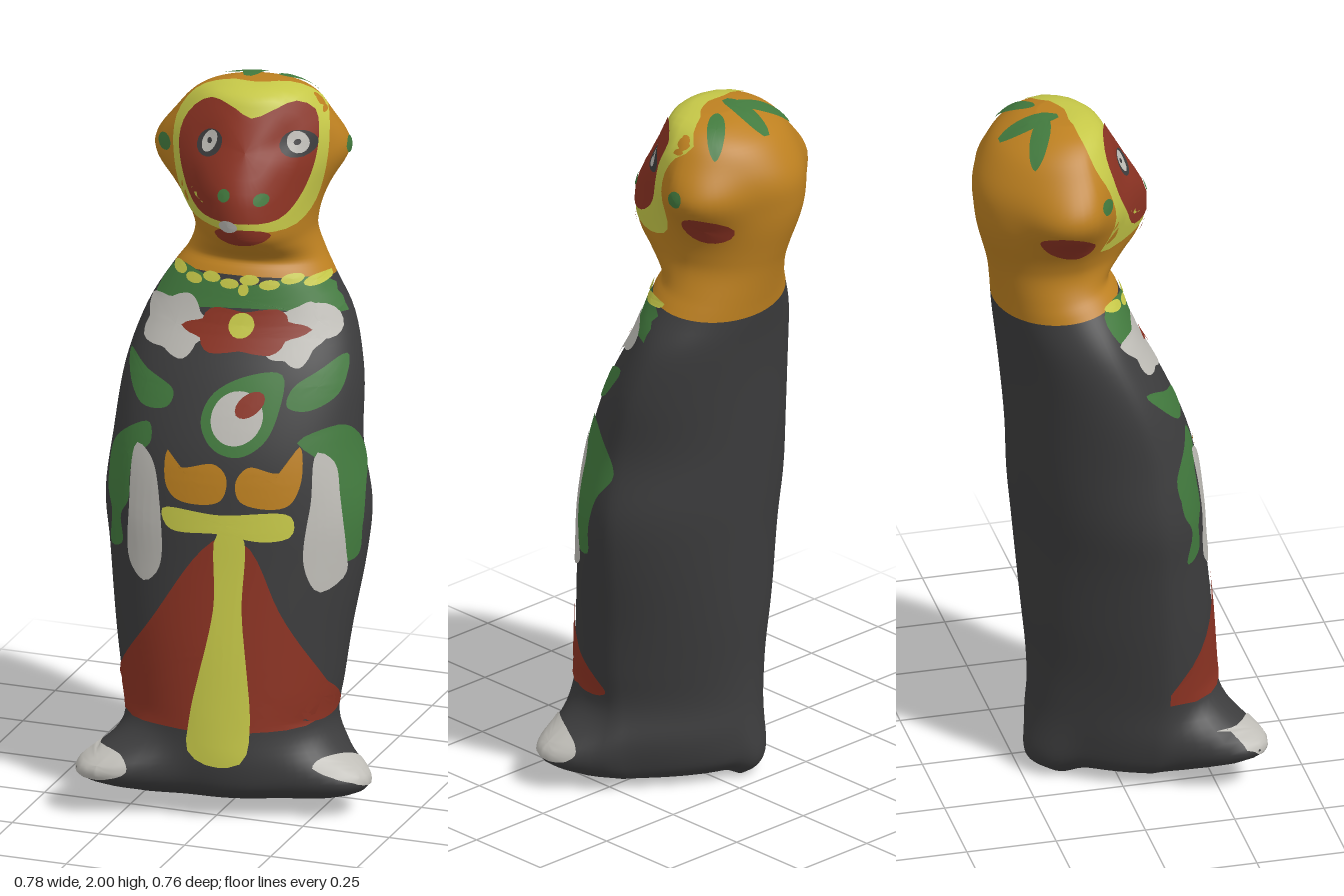
import * as THREE from 'three';

const mat = (name, color) => {
  const m = new THREE.MeshStandardMaterial({ color });
  m.name = name;
  return m;
};

const YAW = 0.225; // the figure is turned slightly to its left
const SEG = 80;
const STEP = 5;

// Cross-sections: y, centre x, centre z, half width, front depth, back depth, front taper, back taper
const BODY = [
  [0.055, -0.02, 0.02, 0.25, 0.22, 0.2, 0, 0.45],
  [0.09, -0.02, 0.03, 0.28, 0.26, 0.25, 0, 0.45],
  [0.16, -0.02, 0.03, 0.295, 0.275, 0.255, 0, 0.4],
  [0.25, -0.03, 0.04, 0.29, 0.26, 0.26, 0, 0.35],
  [0.35, -0.03, 0.04, 0.305, 0.25, 0.26, 0, 0.3],
  [0.5, -0.03, 0.03, 0.325, 0.245, 0.26, 0, 0.24],
  [0.7, -0.025, 0.01, 0.352, 0.24, 0.25, 0, 0.2],
  [0.85, -0.028, 0, 0.365, 0.235, 0.25, 0, 0.17],
  [1.02, -0.033, -0.01, 0.342, 0.22, 0.25, 0, 0.14],
  [1.2, -0.03, -0.05, 0.327, 0.19, 0.22, 0, 0.1],
  [1.35, -0.03, -0.1, 0.285, 0.16, 0.185, 0, 0.05],
  [1.46, -0.03, -0.135, 0.22, 0.155, 0.165, 0, 0],
];
const HEAD = [
  [1.51, -0.03, -0.15, 0.188, 0.15, 0.16, 0, 0],
  [1.57, -0.03, -0.14, 0.168, 0.2, 0.185, 0.1, 0],
  [1.62, -0.035, -0.14, 0.175, 0.25, 0.2, 0.22, 0.05],
  [1.69, -0.045, -0.14, 0.197, 0.265, 0.22, 0.27, 0.1],
  [1.75, -0.05, -0.14, 0.21, 0.25, 0.23, 0.24, 0.12],
  [1.82, -0.045, -0.14, 0.218, 0.21, 0.232, 0.18, 0.12],
  [1.88, -0.04, -0.14, 0.214, 0.175, 0.21, 0.12, 0.1],
  [1.94, -0.035, -0.14, 0.187, 0.14, 0.165, 0.1, 0.05],
  [1.98, -0.03, -0.13, 0.14, 0.105, 0.11, 0, 0],
  [2.0, -0.03, -0.12, 0.07, 0.05, 0.06, 0, 0],
];
const KEYS = [...BODY, ...HEAD];

// Smooth interpolation between cross-sections
function sectionAt(s) {
  const i = Math.min(Math.floor(s), KEYS.length - 2), f = s - i;
  const k = (n) => KEYS[Math.max(0, Math.min(KEYS.length - 1, n))];
  return KEYS[0].map((_, c) => {
    const [p, a, b, n] = [k(i - 1)[c], k(i)[c], k(i + 1)[c], k(i + 2)[c]];
    return a + 0.5 * f * (b - p + f * (2 * p - 5 * a + 4 * b - n + f * (3 * (a - b) + n - p)));
  });
}

const bump = (d, w) => Math.exp(-(d * d) / (w * w));

function surfacePoint([y, cx, cz, a, f, b, kf, kb], t) {
  const c = Math.cos(t), s = Math.sin(t), side = Math.abs(t);
  const tail = bump(1 - Math.cos(t + Math.PI - 0.25), 0.09);
  let u = a * s * (1 - (c > 0 ? kf * c : -kb * c));
  let w = (c > 0 ? f : b) * c;
  // feet and back ridge at the base, ears and eye hollows on the head
  const grow = 0.195 * bump(y - 0.125, 0.08) * bump(t + 0.98, 0.34)
    + bump(y - 0.105, 0.075) * (0.137 * bump(t - 1.08, 0.36) + 0.02 * tail)
    + 0.06 * bump(y - 1.795, 0.085) * bump(side - 1.8, 0.42)
    - 0.015 * bump(y - 1.87, 0.045) * bump(side - 0.6, 0.25);
  const r = Math.hypot(u, w) || 1;
  u += (u / r) * grow;
  w += (w / r) * grow;
  const x = cx + u * Math.cos(YAW) + w * Math.sin(YAW);
  const z = cz - u * Math.sin(YAW) + w * Math.cos(YAW);
  // the underside drops to a point at the back, the neckline slopes backwards
  const low = Math.max(0, 1 - y / 0.3);
  return [x, y + low * ((z - 0.3) * 0.07 - 0.03 * tail) + 0.16 * (z - cz) * bump(y - 1.46, 0.08), z];
}

function loft(from, to, capBottom, capTop) {
  const rows = (to - from) * STEP, pos = [], idx = [];
  for (let r = 0; r <= rows; r++) {
    const sec = sectionAt(from + r / STEP);
    for (let j = 0; j < SEG; j++) pos.push(...surfacePoint(sec, (j / SEG) * 2 * Math.PI - Math.PI));
  }
  for (let r = 0; r < rows; r++) for (let j = 0; j < SEG; j++) {
    const a = r * SEG + j, b = r * SEG + ((j + 1) % SEG);
    idx.push(a, b, b + SEG, a, b + SEG, a + SEG);
  }
  const cap = (row, flip) => {
    const k = KEYS[row ? to : from], n = pos.length / 3, o = row * SEG;
    pos.push(k[1], k[0] - (row ? 0 : 0.015), k[2]);
    for (let j = 0; j < SEG; j++) {
      const a = o + j, b = o + ((j + 1) % SEG);
      flip ? idx.push(n, b, a) : idx.push(n, a, b);
    }
  };
  if (capBottom) cap(0, true);
  if (capTop) cap(rows, false);
  const g = new THREE.BufferGeometry();
  g.setAttribute('position', new THREE.Float32BufferAttribute(pos, 3));
  g.setIndex(idx);
  g.computeVertexNormals();
  return g;
}

// Projection directions for paint: [origin from 2D point, ray direction, keeps counter-clockwise]
// 'face' looks squarely at the tilted face, with its own across and up axes
const SIDES = {
  front: [(p, q) => [p, q, 2], [0, 0, -1], true],
  left: [(p, q) => [2, q, p], [-1, 0, 0], false],
  right: [(p, q) => [-2, q, p], [1, 0, 0], true],
  top: [(p, q) => [p, 4, q], [0, -1, 0], false],
  face: [(p, q) => [0.36 + 0.974 * p - 0.101 * q, 2.7 + 0.892 * q, 1.7 - 0.225 * p - 0.438 * q], [-0.2, -0.45, -0.87], true],
};

const oval = (x, y, rx, ry = rx, tilt = 0) => Array.from({ length: 10 }, (_, i) => {
  const t = (i / 10) * 2 * Math.PI, a = rx * Math.cos(t), b = ry * Math.sin(t);
  return [x + a * Math.cos(tilt) - b * Math.sin(tilt), y + a * Math.sin(tilt) + b * Math.cos(tilt)];
});
const petals = (x, y, rx, ry, n) => Array.from({ length: n * 4 }, (_, i) => {
  const t = (i / (n * 4)) * 2 * Math.PI, k = 1 + 0.14 * Math.cos(n * t);
  return [x + rx * k * Math.cos(t), y + ry * k * Math.sin(t)];
});

export function createModel() {
  const group = new THREE.Group();
  const dark = mat('charcoal', 0x3c3c3d), orange = mat('ochre', 0xbd8020), red = mat('brick red', 0x8c3323);
  const yellow = mat('yellow', 0xc6c848), green = mat('green', 0x427a3e), white = mat('off white', 0xbfbdb7);

  const add = (name, geo, m) => {
    const mesh = new THREE.Mesh(geo, m);
    mesh.name = name;
    group.add(mesh);
    return mesh;
  };
  const neck = BODY.length - 1;
  const solids = [
    add('robe', loft(0, neck, true, false), dark),
    add('head', loft(neck, KEYS.length - 1, false, true), orange),
  ];

  // Thin painted patch laid on the surface as rings around its centre
  const ray = new THREE.Raycaster();
  function paint(name, m, pts, level = 1, side = 'front') {
    const [origin, dir, ccw] = SIDES[side];
    const curve = new THREE.CatmullRomCurve3(pts.map(([p, q]) => new THREE.Vector3(p, q, 0)), true, 'centripetal');
    const size = Math.max(...pts.map((p) => Math.hypot(p[0] - pts[0][0], p[1] - pts[0][1])));
    const n = size > 0.12 ? 48 : 18, rings = size > 0.3 ? 12 : size > 0.12 ? 5 : 2;
    const outline = curve.getSpacedPoints(n).slice(0, n);
    if (THREE.ShapeUtils.isClockWise(outline) === ccw) outline.reverse();
    const mid = outline.reduce((s, p) => s.add(p), new THREE.Vector3()).divideScalar(n);
    const d = new THREE.Vector3(...dir).normalize(), pos = [], idx = [];
    const place = (p, k) => {
      for (let f = k; f >= 0; f -= 0.01) {
        const q = mid.clone().lerp(p, f);
        ray.set(new THREE.Vector3(...origin(q.x, q.y)), d);
        const hit = ray.intersectObjects(solids)[0];
        if (hit) return pos.push(...hit.point.addScaledVector(hit.face.normal, 0.0015 + 0.0025 * level).toArray());
      }
      return pos.push(...origin(mid.x, mid.y));
    };
    for (let r = 0; r <= rings; r++) outline.forEach((p) => place(p, r / rings));
    for (let r = 0; r < rings; r++) for (let j = 0; j < n; j++) {
      const k = (j + 1) % n, a = r * n, b = a + n;
      idx.push(a + j, b + j, b + k);
      if (r > 0) idx.push(a + j, b + k, a + k);
    }
    const g = new THREE.BufferGeometry();
    g.setAttribute('position', new THREE.Float32BufferAttribute(pos, 3));
    g.setIndex(idx);
    g.computeVertexNormals();
    add(name, g, m);
  }

  // Face
  paint('faceBorder', yellow, [[0.037, 0.206], [-0.034, 0.213], [-0.125, 0.19], [-0.178, 0.122], [-0.182, 0], [-0.135, -0.135], [0.003, -0.208], [0.143, -0.178], [0.22, -0.033], [0.235, 0.09], [0.215, 0.18], [0.141, 0.214]], 0.6, 'face');
  paint('face', red, [[0.037, 0.099], [-0.02, 0.133], [-0.08, 0.156], [-0.135, 0.126], [-0.163, 0.065], [-0.15, -0.039], [-0.095, -0.146], [0.004, -0.186], [0.112, -0.165], [0.188, -0.034], [0.208, 0.075], [0.194, 0.145], [0.15, 0.157], [0.085, 0.122]], 1.9, 'face');
  for (const x of [-0.1, 0.118]) {
    const tilt = x < 0 ? -0.5 : 0.5;
    paint('eyeSocket', dark, oval(x, 1.862, 0.042, 0.034, -tilt), 2.8);
    paint('eyeWhite', white, oval(x, 1.866, 0.022, 0.032, tilt), 3.15);
    paint('pupil', dark, oval(x, 1.866, 0.008), 3.39);
  }
  for (const [x, y] of [[-0.03, 1.745], [0.06, 1.735]]) paint('nostril', green, oval(x, y, 0.017), 3);
  paint('mouth', red, oval(0.01, 1.632, 0.072, 0.025), 2);
  paint('teeth', white, oval(-0.015, 1.664, 0.026, 0.017), 3);

  // Ears and crown leaves
  paint('earMarkLeft', red, oval(-0.26, 1.72, 0.052, 0.046), 2, 'left');
  paint('earMarkRight', red, [[-0.23, 1.74], [-0.2, 1.69], [-0.12, 1.66], [-0.08, 1.7], [-0.12, 1.75], [-0.18, 1.765]], 2, 'right');
  paint('earDotLeft', green, oval(-0.215, 1.815, 0.022), 2, 'left');
  paint('earDotRight', green, oval(-0.258, 1.82, 0.024, 0.022), 2);
  paint('crownLeafMiddle', green, oval(-0.055, -0.215, 0.03, 0.085), 2, 'top');
  paint('crownLeafRight', green, oval(-0.125, -0.2, 0.08, 0.026, 0.4), 2, 'top');
  paint('crownLeafLeft', green, oval(0.065, -0.225, 0.065, 0.024, -0.75), 2, 'top');

  // Collar
  paint('collar', green, [[-0.22, 1.48], [-0.1, 1.475], [0, 1.46], [0.1, 1.475], [0.16, 1.47], [0.22, 1.42], [0.25, 1.37], [0.14, 1.39], [0, 1.4], [-0.15, 1.39], [-0.27, 1.38]]);
  for (let i = 0; i < 8; i++) paint('bead', yellow, oval(-0.2 + i * 0.052, 1.474 - (i % 2) * 0.012, 0.026, 0.013), 2);
  paint('beadDrop', yellow, oval(-0.005, 1.448, 0.014, 0.016), 2);

  // Chest flower
  paint('petalsRight', white, petals(-0.185, 1.34, 0.1, 0.075, 5), 2);
  paint('petalsLeft', white, petals(0.14, 1.33, 0.068, 0.075, 5), 2);
  paint('petalSide', white, oval(-0.035, 1.36, 0.06, 0.046, -0.2), 2, 'left');
  paint('flower', red, petals(0.005, 1.34, 0.15, 0.058, 6), 3);
  paint('flowerCentre', yellow, oval(0, 1.355, 0.034), 3.4);

  // Leaves and fruit
  paint('leafRight', green, [[-0.32, 1.25], [-0.25, 1.22], [-0.16, 1.18], [-0.17, 1.14], [-0.25, 1.13], [-0.3, 1.18]]);
  paint('leafLeft', green, [[0.26, 1.27], [0.21, 1.24], [0.155, 1.2], [0.148, 1.155], [0.2, 1.14], [0.26, 1.175]]);
  paint('fruitLeaf', green, [[0.125, 1.235], [0.03, 1.23], [-0.05, 1.18], [-0.07, 1.11], [-0.03, 1.045], [0.04, 1.025], [0.1, 1.06], [0.128, 1.13]]);
  paint('fruit', white, oval(0.025, 1.125, 0.068, 0.07), 2);
  paint('fruitBlush', red, oval(0.055, 1.16, 0.042, 0.028, 0.7), 3);

  // Arms, cuffs and sleeves
  paint('armRightUpper', green, [[-0.345, 0.99], [-0.3, 1.05], [-0.22, 1.09], [-0.21, 1.04], [-0.26, 0.99], [-0.28, 0.9], [-0.34, 0.9]]);
  paint('armRightLower', green, [[-0.34, 0.95], [-0.28, 0.95], [-0.27, 0.87], [-0.295, 0.82], [-0.29, 0.74], [-0.335, 0.72], [-0.33, 0.82], [-0.35, 0.88]]);
  paint('armLeft', green, [[0.12, 1.06], [0.06, 1.09], [0, 1.085], [-0.08, 0.98], [-0.03, 0.9], [0, 0.8], [0.01, 0.72], [0.08, 0.72], [0.085, 0.85], [0.09, 1]], 1, 'left');
  paint('sleeveRight', white, [[-0.25, 1.03], [-0.2, 1], [-0.165, 0.85], [-0.165, 0.7], [-0.21, 0.655], [-0.26, 0.7], [-0.265, 0.85]], 2);
  paint('sleeveLeft', white, [[0.23, 1.03], [0.265, 1], [0.285, 0.9], [0.3, 0.75], [0.295, 0.67], [0.25, 0.64], [0.215, 0.72], [0.225, 0.9]], 2);
  paint('cuffRight', orange, [[-0.155, 1.03], [-0.12, 0.99], [-0.02, 1.005], [0.015, 0.97], [0, 0.905], [-0.12, 0.9], [-0.155, 0.94]]);
  paint('cuffLeft', orange, [[0.19, 1.05], [0.15, 0.985], [0.07, 1], [0.04, 0.96], [0.055, 0.905], [0.17, 0.89], [0.2, 0.95]]);

  // Belt, skirt and sash
  paint('skirt', red, [[0.02, 0.81], [-0.04, 0.77], [-0.18, 0.56], [-0.31, 0.36], [-0.32, 0.275], [-0.1, 0.26], [0.1, 0.26], [0.26, 0.275], [0.258, 0.38], [0.16, 0.6], [0.08, 0.78]], 1.6);
  paint('skirtSide', red, [[0.16, 0.28], [0.16, 0.42], [0.09, 0.37], [0.03, 0.325], [0, 0.29], [0.04, 0.27]], 1.2, 'left');
  paint('belt', yellow, [[-0.16, 0.87], [0, 0.868], [0.18, 0.865], [0.185, 0.81], [0.13, 0.795], [0, 0.815], [-0.14, 0.82]], 2.8);
  paint('sash', yellow, [[0, 0.82], [0.06, 0.82], [0.07, 0.6], [0.1, 0.27], [0.085, 0.18], [0.01, 0.165], [-0.06, 0.2], [-0.06, 0.29], [-0.005, 0.6]], 2.8);

  // Toes
  paint('toesRight', white, [[-0.37, 0.125], [-0.37, 0.165], [-0.32, 0.185], [-0.24, 0.175], [-0.22, 0.14], [-0.29, 0.115]]);
  paint('toesLeft', white, oval(0.115, 0.135, 0.085, 0.038, 0.2), 1, 'left');

  return group;
}
